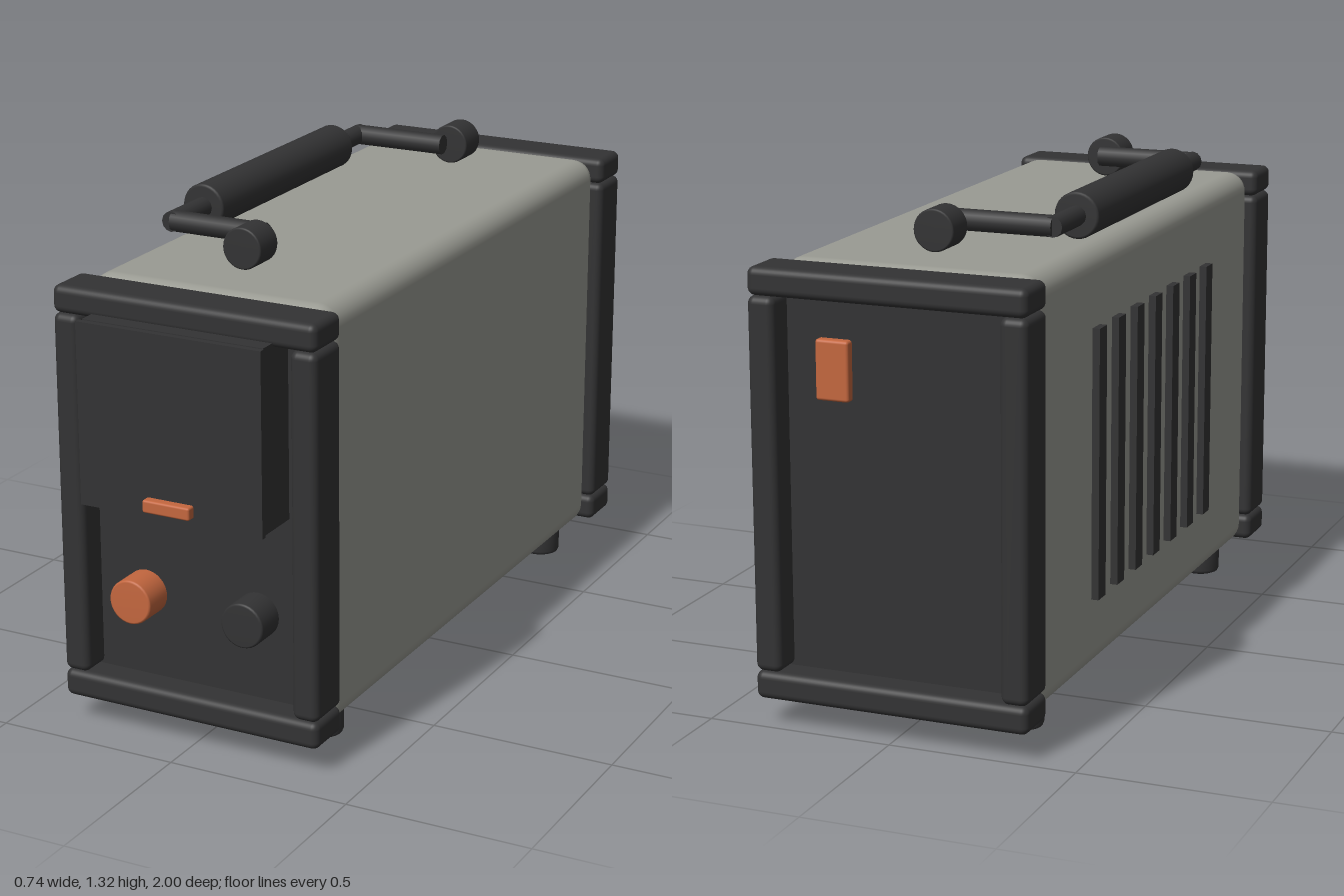
import * as THREE from 'three';
import { RoundedBoxGeometry } from 'three/addons/geometries/RoundedBoxGeometry.js';

export function createModel() {
  const model = new THREE.Group();
  model.name = 'portableUnit';

  const material = (name, color) => {
    const m = new THREE.MeshStandardMaterial({ color });
    m.name = name;
    return m;
  };
  const grey = material('warmGrey', 0x9a9b93);
  const dark = material('charcoal', 0x333334);
  const orange = material('orange', 0xc4673f);

  const add = (name, geometry, mat, x = 0, y = 0, z = 0) => {
    const mesh = new THREE.Mesh(geometry, mat);
    mesh.name = name;
    mesh.position.set(x, y, z);
    model.add(mesh);
    return mesh;
  };
  // box given by its limits on each axis, with an optional edge radius
  const box = (name, mat, [x0, x1], [y0, y1], [z0, z1], r = 0) => {
    const size = [x1 - x0, y1 - y0, z1 - z0];
    const g = r ? new RoundedBoxGeometry(...size, 4, r) : new THREE.BoxGeometry(...size);
    return add(name, g, mat, (x0 + x1) / 2, (y0 + y1) / 2, (z0 + z1) / 2);
  };
  // closed cylinder with softened rims, centred on its own y axis
  const softCylinder = (r, h, b, sides = 32) => {
    const p = [[0, -h / 2], [r - b, -h / 2], [r - b * 0.3, -h / 2 + b * 0.3], [r, -h / 2 + b],
      [r, h / 2 - b], [r - b * 0.3, h / 2 - b * 0.3], [r - b, h / 2], [0, h / 2]];
    return new THREE.LatheGeometry(p.map(([x, y]) => new THREE.Vector2(x, y)), sides);
  };

  // main housing
  box('housing', grey, [-0.347, 0.347], [0.072, 1.19], [-0.88, 0.79], 0.055);

  // end frames: two rails and two posts each
  for (const [end, z] of [['front', [0.772, 0.91]], ['back', [-1.0, -0.862]]]) {
    box(end + 'TopRail', dark, [-0.372, 0.372], [1.117, 1.19], z, 0.02);
    box(end + 'BottomRail', dark, [-0.372, 0.372], [0.072, 0.146], z, 0.02);
    for (const s of [-1, 1]) {
      const x = s < 0 ? [-0.372, -0.299] : [0.299, 0.372];
      box(end + (s < 0 ? 'RightPost' : 'LeftPost'), dark, x, [0.146, 1.117], z, 0.02);
    }
  }

  // recessed end panels
  box('frontPanel', dark, [-0.31, 0.31], [0.13, 1.13], [0.76, 0.83]);
  box('backPanel', dark, [-0.31, 0.31], [0.13, 1.13], [-0.92, -0.85]);

  // front door: deep box, thin cover and pull
  box('doorBox', dark, [-0.255, 0.255], [0.65, 1.13], [0.82, 0.953]);
  box('doorCover', dark, [-0.26, 0.26], [0.648, 1.13], [0.96, 0.976]);
  box('doorPull', orange, [-0.067, 0.067], [0.668, 0.702], [0.97, 1.0], 0.006);

  // control knobs
  for (const [name, x, mat] of [['orangeKnob', -0.163, orange], ['darkKnob', 0.163, dark]]) {
    add(name, softCylinder(0.06, 0.095, 0.006), mat, x, 0.375, 0.868).rotation.x = Math.PI / 2;
  }

  // rear switch
  box('rearSwitch', orange, [0.123, 0.213], [0.855, 1.01], [-0.945, -0.91], 0.008);

  // vent slats on the right side
  for (let i = 0; i < 7; i++) {
    const z = -0.47 + i * 0.14;
    box('ventSlat', dark, [-0.367, -0.34], [0.27, 0.99], [z - 0.026, z + 0.026]);
  }

  // feet
  for (const x of [-0.255, 0.255]) for (const z of [0.658, -0.743]) {
    add('foot', softCylinder(0.056, 0.075, 0.012), dark, x, 0.0375, z);
  }

  // folded carrying handle: pivots, arms, bar and grip
  const hx = -0.272, hy = 1.26;
  for (const z of [0.557, -0.655]) {
    add('handlePivot', softCylinder(0.055, 0.092, 0.005), dark, 0, 1.252, z).rotation.x = Math.PI / 2;
  }
  for (const z of [0.475, -0.57]) {
    const arm = new THREE.CylinderGeometry(0.028, 0.028, -hx, 10);
    add('handleArm', arm, dark, hx / 2, hy, z).rotation.z = Math.PI / 2;
  }
  const bar = new THREE.CylinderGeometry(0.027, 0.027, 1.075, 12);
  add('handleBar', bar, dark, hx, hy, -0.0475).rotation.x = Math.PI / 2;
  add('handleGrip', softCylinder(0.061, 0.745, 0.007), dark, hx, hy, -0.047).rotation.x = Math.PI / 2;

  return model;
}
